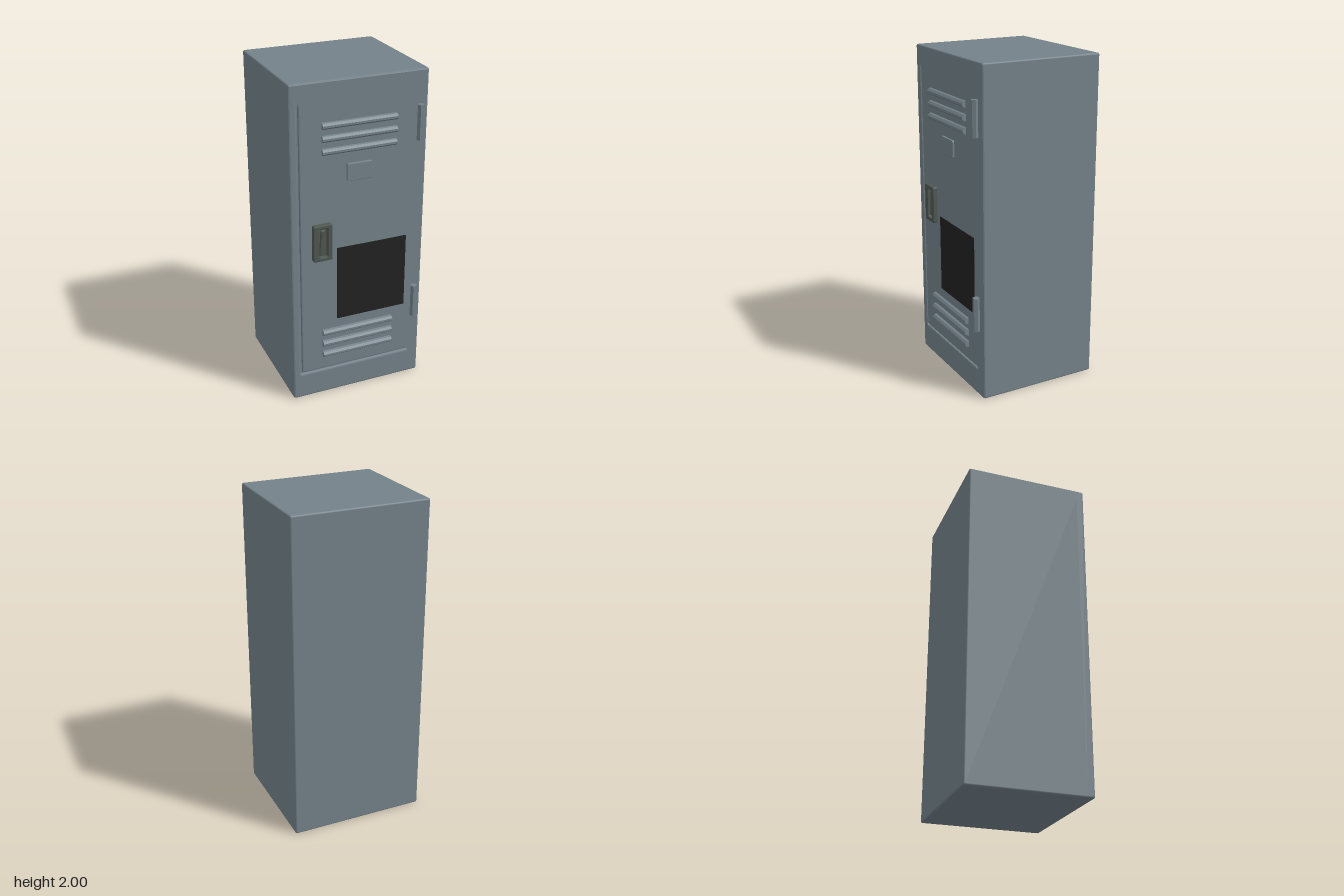
import * as THREE from 'three';
import { RoundedBoxGeometry } from 'three/addons/geometries/RoundedBoxGeometry.js';

const mat = (name, color) => {
  const m = new THREE.MeshStandardMaterial({ color });
  m.name = name;
  return m;
};

// Rounded rectangle outline given by its edges
function roundedRect(path, x0, y0, x1, y1, r) {
  path.moveTo(x0 + r, y0);
  path.lineTo(x1 - r, y0);
  path.quadraticCurveTo(x1, y0, x1, y0 + r);
  path.lineTo(x1, y1 - r);
  path.quadraticCurveTo(x1, y1, x1 - r, y1);
  path.lineTo(x0 + r, y1);
  path.quadraticCurveTo(x0, y1, x0, y1 - r);
  path.lineTo(x0, y0 + r);
  path.quadraticCurveTo(x0, y0, x0 + r, y0);
  return path;
}

// Bevelled plate from z0 to z1, with an optional hole
function plate(outer, hole, z0, z1, r, bevel) {
  const shape = roundedRect(new THREE.Shape(), ...outer, r);
  if (hole) shape.holes.push(roundedRect(new THREE.Path(), ...hole, r));
  const geo = new THREE.ExtrudeGeometry(shape, {
    depth: z1 - z0 - 2 * bevel, bevelEnabled: true, bevelSize: bevel,
    bevelThickness: bevel, bevelOffset: -bevel, bevelSegments: 2, curveSegments: 3,
  });
  return geo.translate(0, 0, z0 + bevel);
}

export function createModel() {
  const group = new THREE.Group();
  group.name = 'locker';
  const steel = mat('greySteel', 0x74828a);
  const dark = mat('darkHandleMetal', 0x4f5752);
  const black = mat('blackPanel', 0x222222);

  const add = (name, geo, material, x = 0, y = 0, z = 0) => {
    const mesh = new THREE.Mesh(geo, material);
    mesh.name = name;
    mesh.position.set(x, y, z);
    group.add(mesh);
    return mesh;
  };

  // Cabinet, front frame and door with a narrow groove around it
  add('cabinet', new RoundedBoxGeometry(0.84, 2, 0.74, 2, 0.01), steel, 0, 1, -0.03);
  add('frontFrame', plate([-0.42, 0, 0.42, 2], [-0.372, 0.165, 0.367, 1.935], 0.3, 0.357, 0.012, 0.01), steel);
  add('door', plate([-0.362, 0.175, 0.357, 1.925], null, 0.32, 0.355, 0.01, 0.006), steel);

  // Vent louvers: a hooded profile swept across the door
  const hood = new THREE.Shape();
  hood.moveTo(0, -0.022);
  hood.lineTo(0.015, -0.016);
  hood.lineTo(0.026, -0.006);
  hood.lineTo(0.026, 0.006);
  hood.lineTo(0.015, 0.018);
  hood.lineTo(0, 0.022);
  const louver = new THREE.ExtrudeGeometry(hood, { depth: 0.455, bevelEnabled: false });
  louver.rotateY(-Math.PI / 2).translate(0.2275, 0, 0);
  for (const top of [1.745, 0.43]) {
    for (let i = 0; i < 3; i++) {
      add('ventLouver', louver, steel, -0.0025, top - i * 0.0755, 0.354);
    }
  }

  // Name plate
  add('namePlate', plate([-0.08, 1.4, 0.075, 1.507], null, 0.35, 0.37, 0.012, 0.004), steel);

  // Handle surround, recess and tapered lever
  add('handleSurround', plate([-0.292, 0.932, -0.175, 1.16], [-0.255, 0.955, -0.202, 1.137], 0.345, 0.383, 0.01, 0.005), dark);
  add('handleRecess', new THREE.BoxGeometry(0.09, 0.2, 0.004), dark, -0.2285, 1.046, 0.3555);
  const lever = new THREE.Shape([[-0.022, -0.085], [0.022, -0.085], [0.012, 0.075], [-0.012, 0.075]]
    .map(([x, y]) => new THREE.Vector2(x, y)));
  add('handleLever', new THREE.ExtrudeGeometry(lever, {
    depth: 0.009, bevelEnabled: true, bevelSize: 0.003, bevelThickness: 0.004, bevelOffset: -0.003, bevelSegments: 1,
  }), dark, -0.2285, 1.046, 0.357);

  // Black panel on the lower door
  add('blackPanel', new THREE.BoxGeometry(0.445, 0.475, 0.005), black, 0.0875, 0.748, 0.3555);

  // Six-sided hinge barrels
  const hinge = new THREE.CylinderGeometry(0.021, 0.021, 0.21, 6).toNonIndexed();
  hinge.computeVertexNormals();
  hinge.rotateY(Math.PI / 2);
  for (const y of [1.695, 0.535]) add('hinge', hinge, steel, 0.366, y, 0.378);

  return group;
}
